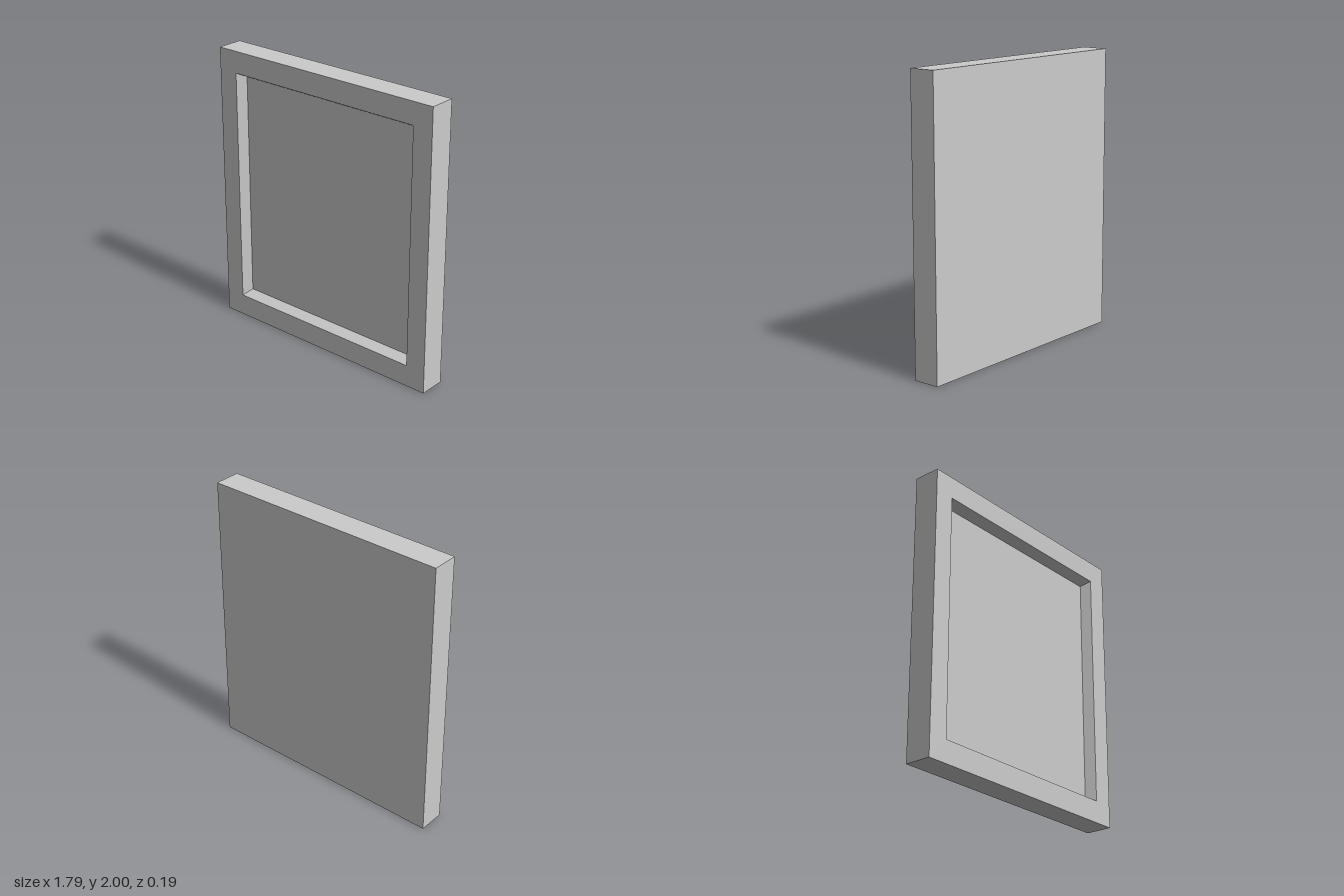
import * as THREE from 'three';

const HALF_W = 0.895, HALF_H = 1, HALF_D = 0.094;
const FLOOR_Z = 0.025; // depth of the recessed panel

const grey = () => new THREE.MeshStandardMaterial({ color: 0xcccccc, flatShading: true });

// Skins a series of rectangles [halfWidth, halfHeight, z], from back to front.
function rectLoft(sections) {
  const pos = [];
  const corners = ([w, h, z]) => [[-w, -h, z], [w, -h, z], [w, h, z], [-w, h, z]];
  const quad = (a, b, c, d) => pos.push(...a, ...b, ...c, ...a, ...c, ...d);
  for (let i = 0; i < sections.length - 1; i++) {
    const p = corners(sections[i]), q = corners(sections[i + 1]);
    for (let k = 0; k < 4; k++) {
      const n = (k + 1) % 4;
      quad(p[k], p[n], q[n], q[k]);
    }
  }
  const g = new THREE.BufferGeometry();
  g.setAttribute('position', new THREE.Float32BufferAttribute(pos, 3));
  g.computeVertexNormals();
  return g;
}

export function createModel() {
  const model = new THREE.Group();
  model.name = 'pictureFrame';

  const add = (name, geometry, z = 0) => {
    const mesh = new THREE.Mesh(geometry, grey());
    mesh.name = name;
    mesh.position.set(0, HALF_H, z);
    model.add(mesh);
    return mesh;
  };

  // Frame: outer sides, front border, then the sloped inner edge
  add('frame', rectLoft([
    [HALF_W, HALF_H, -HALF_D],
    [HALF_W, HALF_H, HALF_D],
    [0.75, 0.845, HALF_D],
    [0.715, 0.81, FLOOR_Z],
  ]));

  // Recessed panel at the bottom of the opening
  add('recessedPanel', new THREE.PlaneGeometry(1.43, 1.62), FLOOR_Z);

  // Picture lying practically flush on the panel
  add('picture', new THREE.PlaneGeometry(1.08, 1.28), FLOOR_Z + 0.001);

  // Flat back
  add('backPanel', new THREE.PlaneGeometry(2 * HALF_W, 2 * HALF_H), -HALF_D).rotation.y = Math.PI;

  return model;
}
